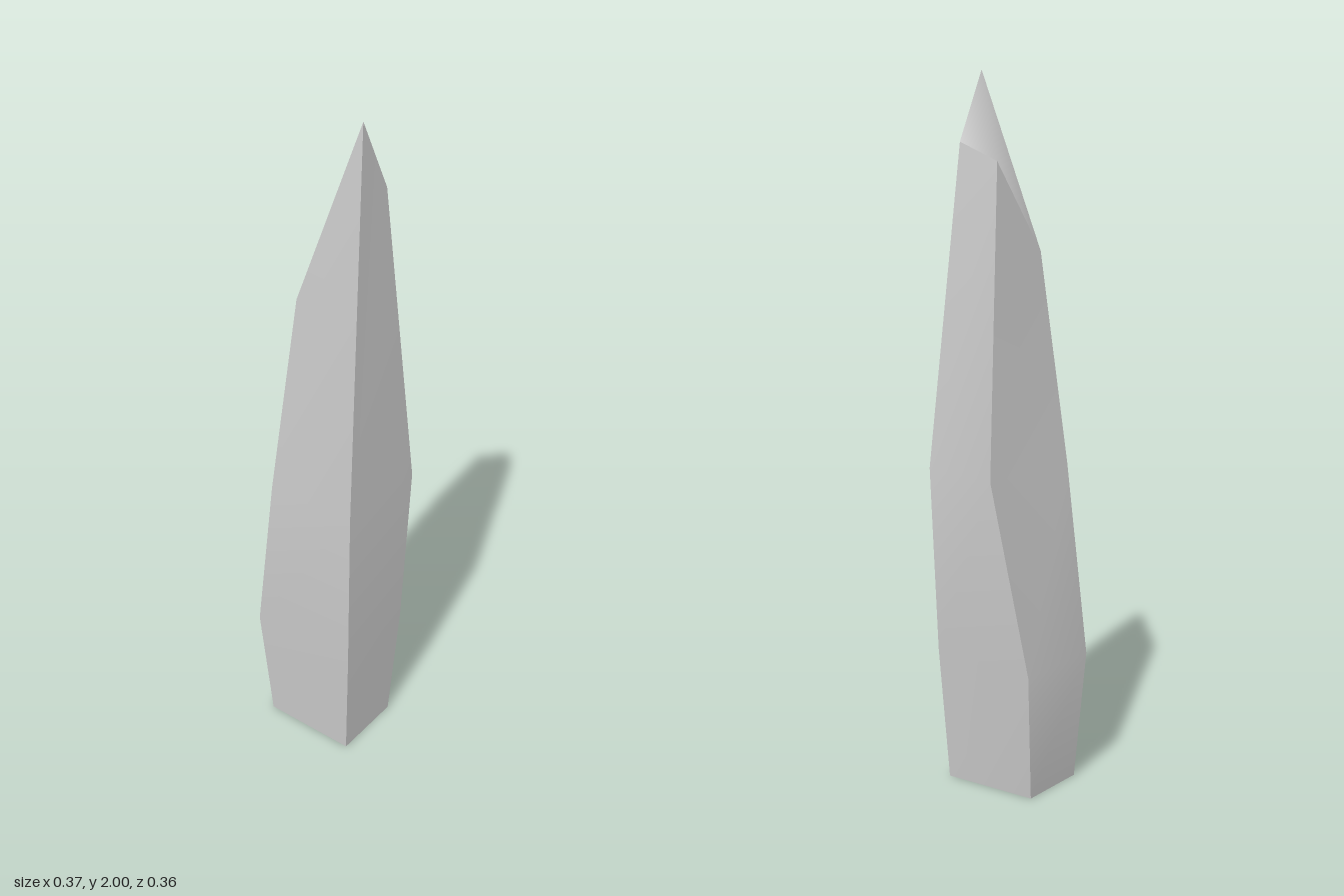
import * as THREE from 'three';

// Corner columns from base to tip, each listed as [x, y, z]
const frontLeft = [[-0.133, 0, 0.132], [-0.158, 0.38, 0.157], [-0.183, 0.9, 0.18], [-0.1, 2, 0.15]];
const frontRight = [[0.083, 0, 0.132], [0.1, 0.38, 0.157], [0.106, 0.9, 0.18], [0, 1.8, 0.15]];
const backRight = [[0.083, 0, -0.153], [0.135, 0.365, -0.18], [0.182, 0.9, -0.088], [0.017, 1.745, 0.01]];
const backLeft = [[-0.133, 0, -0.153], [-0.152, 0.365, -0.18], [-0.183, 0.9, -0.09], [-0.15, 1.5, -0.018]];

const material = new THREE.MeshStandardMaterial({ color: 0xcccccc });

// Strip of quads between two columns; normals blend inside it, its borders stay sharp
function strip(name, a, b) {
  const index = [];
  for (let i = 0; i < a.length - 1; i++) {
    const p = 2 * i;
    index.push(p, p + 1, p + 3, p, p + 3, p + 2);
  }
  const geometry = new THREE.BufferGeometry();
  const points = a.flatMap((p, i) => [...p, ...b[i]]);
  geometry.setAttribute('position', new THREE.Float32BufferAttribute(points, 3));
  geometry.setIndex(index);
  geometry.computeVertexNormals();
  const mesh = new THREE.Mesh(geometry, material);
  mesh.name = name;
  return mesh;
}

export function createModel() {
  const group = new THREE.Group();
  group.name = 'crystalShard';

  // Four long facets
  group.add(
    strip('frontFacet', frontLeft, frontRight),
    strip('rightFacet', frontRight, backRight),
    strip('backFacet', backRight, backLeft),
    strip('leftFacet', backLeft, frontLeft),
  );

  // Slanted tip, folded from the peak to the back right corner, and the flat base
  group.add(
    strip('tipFacet', [frontLeft[3], backLeft[3]], [frontRight[3], backRight[3]]),
    strip('base', [backLeft[0], frontLeft[0]], [backRight[0], frontRight[0]]),
  );
  return group;
}
